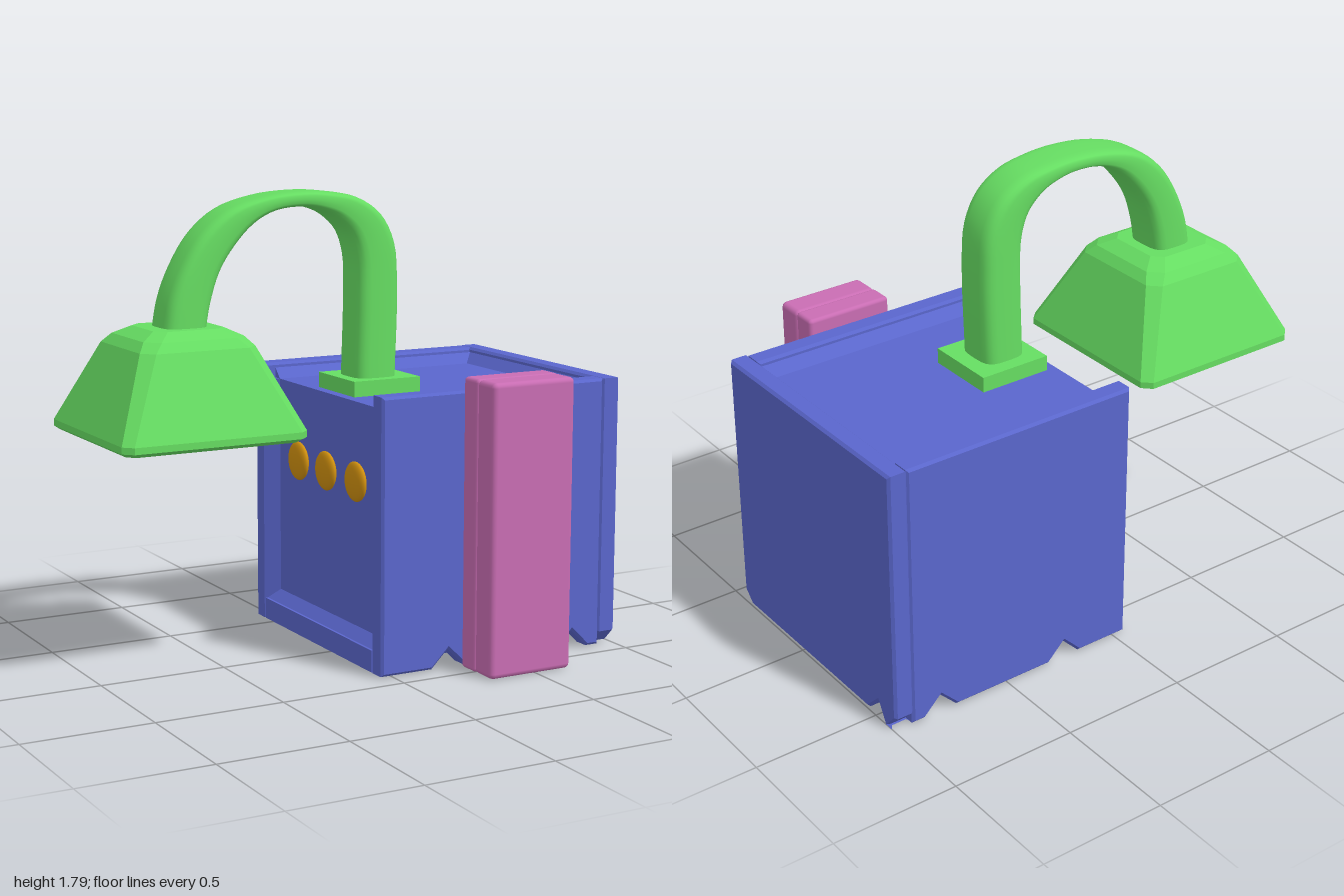
import * as THREE from 'three';
import { RoundedBoxGeometry } from 'three/addons/geometries/RoundedBoxGeometry.js';

const V = (x, y, z) => new THREE.Vector3(x, y, z);
const mat = (color, flatShading = false) => new THREE.MeshStandardMaterial({ color, flatShading });

// Skins a list of rings (counter-clockwise seen from the end) and caps both ends
function loft(rings) {
  const n = rings[0].length, pos = [], idx = [];
  rings.forEach(r => r.forEach(p => pos.push(p.x, p.y, p.z)));
  for (let i = 0; i < rings.length - 1; i++) {
    for (let j = 0; j < n; j++) {
      const a = i * n + j, b = i * n + (j + 1) % n;
      idx.push(a, b, a + n, b, b + n, a + n);
    }
  }
  [rings[0], rings[rings.length - 1]].forEach((r, end) => {
    const base = pos.length / 3, c = V(0, 0, 0);
    r.forEach(p => { pos.push(p.x, p.y, p.z); c.addScaledVector(p, 1 / n); });
    pos.push(c.x, c.y, c.z);
    for (let j = 0; j < n; j++) {
      const k = (j + 1) % n;
      idx.push(base + n, base + (end ? j : k), base + (end ? k : j));
    }
  });
  const g = new THREE.BufferGeometry();
  g.setAttribute('position', new THREE.Float32BufferAttribute(pos, 3));
  g.setIndex(idx);
  g.computeVertexNormals();
  return g;
}

// Rectangle with cut corners, at height y
function octagon(cx, cz, y, hx, hz, cut) {
  return [[hx, hz - cut], [hx, cut - hz], [hx - cut, -hz], [cut - hx, -hz],
    [-hx, cut - hz], [-hx, hz - cut], [cut - hx, hz], [hx - cut, hz]]
    .map(([x, z]) => V(cx + x, y, cz + z));
}

// Wall outline with V notches along its lower edge, extruded with a fine bevel
function wall(u0, u1, notches, clip) {
  const lo = 0.005, hi = 1.06, s = new THREE.Shape();
  s.moveTo(u0, hi);
  s.lineTo(u0, lo + clip);
  if (clip) s.lineTo(u0 + clip, lo);
  for (const u of notches) {
    s.lineTo(u - 0.07, lo);
    s.lineTo(u, lo + 0.07);
    s.lineTo(u + 0.07, lo);
  }
  if (clip) s.lineTo(u1 - clip, lo);
  s.lineTo(u1, lo + clip);
  s.lineTo(u1, hi);
  const g = new THREE.ExtrudeGeometry(s, {
    depth: 0.06, bevelThickness: 0.01, bevelSize: 0.01, bevelOffset: -0.01, bevelSegments: 1,
  });
  return g.translate(0, 0, 0.01);
}

// Triangular strip whose legs run along a and b, and whose length runs along a x b
function strip(origin, a, b, length) {
  const s = new THREE.Shape([[0, 0], [0.04, 0], [0, 0.04]].map(p => new THREE.Vector2(...p)));
  const g = new THREE.ExtrudeGeometry(s, { depth: length, bevelEnabled: false });
  const m = new THREE.Matrix4().makeBasis(a, b, a.clone().cross(b)).setPosition(origin);
  return g.applyMatrix4(m);
}

export function createModel() {
  const model = new THREE.Group();
  const blue = mat(0x5a66cc, true), pink = mat(0xc96db3);
  const green = mat(0x66dd62), greenFlat = mat(0x66dd62, true), orange = mat(0xd0900f);

  const group = name => {
    const g = new THREE.Group();
    g.name = name;
    model.add(g);
    return g;
  };
  const add = (parent, name, geometry, material, x = 0, y = 0, z = 0) => {
    const m = new THREE.Mesh(geometry, material);
    m.name = name;
    m.position.set(x, y, z);
    parent.add(m);
    return m;
  };

  // Cabinet: core with a tapered foot, enclosed by raised walls
  const cabinet = group('cabinet');
  add(cabinet, 'core', loft([
    octagon(0.46, -0.105, 0.02, 0.41, 0.395, 0.06),
    octagon(0.46, -0.105, 0.09, 0.46, 0.445, 0.002),
    octagon(0.46, -0.105, 1.0, 0.46, 0.445, 0.002),
  ]), blue);
  add(cabinet, 'frontWall', wall(-0.05, 0.925, [0.24, 0.8], 0), blue, 0, 0, 0.34);
  add(cabinet, 'backWall', wall(-0.05, 0.925, [0.24, 0.8], 0), blue, 0, 0, -0.63);
  add(cabinet, 'sideWall', wall(-0.42, 0.63, [0.52], 0.05).rotateY(Math.PI / 2), blue, 0.92);
  add(cabinet, 'lowerRim', new THREE.BoxGeometry(0.05, 0.085, 0.89), blue, -0.025, 0.0475, -0.105);

  // Sloped trim inside the top recess and the side recess
  const X = V(1, 0, 0), Y = V(0, 1, 0), Z = V(0, 0, 1), NX = V(-1, 0, 0), NZ = V(0, 0, -1);
  [
    [V(0, 1, -0.55), Y, Z, 0.92],
    [V(0, 1, 0.34), NZ, Y, 0.92],
    [V(0.92, 1, -0.55), Y, NX, 0.89],
    [V(0, 0.09, -0.55), NX, Z, 0.91],
    [V(0, 0.09, 0.34), NZ, NX, 0.91],
    [V(0, 0.09, -0.55), Y, NX, 0.89],
  ].forEach(args => add(cabinet, 'recessTrim', strip(...args), blue));

  // Row of three knobs
  const knobs = group('knobs');
  for (const z of [-0.31, -0.08, 0.16]) {
    add(knobs, 'knob', new THREE.SphereGeometry(0.077, 24, 16).scale(0.3, 1, 1), orange, -0.02, 0.7, z);
  }

  // Upright slab on the front, in two layers
  const slab = group('frontSlab');
  add(slab, 'innerLayer', new RoundedBoxGeometry(0.355, 1.115, 0.1, 2, 0.015), pink, 0.473, 0.5575, 0.468);
  add(slab, 'outerLayer', new RoundedBoxGeometry(0.355, 1.115, 0.12, 2, 0.02), pink, 0.473, 0.5575, 0.571);

  // Lamp: base plate, arched arm, hollow shade
  const lamp = group('lamp');
  add(lamp, 'basePlate', new THREE.BoxGeometry(0.29, 0.07, 0.29), green, 0.185, 1.025, -0.105);

  const curve = pts => new THREE.CatmullRomCurve3(pts.map(([x, y]) => V(x, y, 0)));
  const outer = curve([[0.265, 1.04], [0.275, 1.4], [0.26, 1.58], [0.2, 1.69], [0.1, 1.755], [-0.03, 1.78],
    [-0.15, 1.785], [-0.3, 1.77], [-0.45, 1.725], [-0.56, 1.64], [-0.64, 1.52], [-0.69, 1.4], [-0.715, 1.27]]);
  const inner = curve([[0.085, 1.04], [0.095, 1.4], [0.09, 1.53], [0.06, 1.62], [0, 1.68], [-0.06, 1.71],
    [-0.13, 1.725], [-0.25, 1.715], [-0.34, 1.67], [-0.42, 1.59], [-0.48, 1.5], [-0.52, 1.38], [-0.54, 1.27]]);
  const soft = v => Math.sign(v) * Math.abs(v) ** 0.55;
  const armRings = [];
  for (let i = 0; i <= 48; i++) {
    const o = outer.getPoint(i / 48), c = inner.getPoint(i / 48);
    const mid = o.clone().add(c).multiplyScalar(0.5), half = o.sub(c).multiplyScalar(0.5);
    armRings.push(Array.from({ length: 24 }, (_, j) => {
      const a = (j / 24) * Math.PI * 2;
      return mid.clone().addScaledVector(half, soft(Math.cos(a))).setZ(-0.1 - 0.095 * soft(Math.sin(a)));
    }));
  }
  add(lamp, 'arm', loft(armRings), green);

  // Shade rings run from the inner ceiling down, around the lip and up the outside
  const shadeProfile = [[1.2, 0.17, 0.03], [0.89, 0.315, 0.03], [0.89, 0.345, 0.03], [0.905, 0.367, 0.035],
    [0.93, 0.367, 0.035], [1.235, 0.23, 0.045], [1.27, 0.2, 0.05], [1.3, 0.14, 0.04]];
  add(lamp, 'shade', loft(shadeProfile.map(([y, h, cut]) => octagon(-0.63, -0.1, y, h, h, cut))), greenFlat);

  return model;
}
